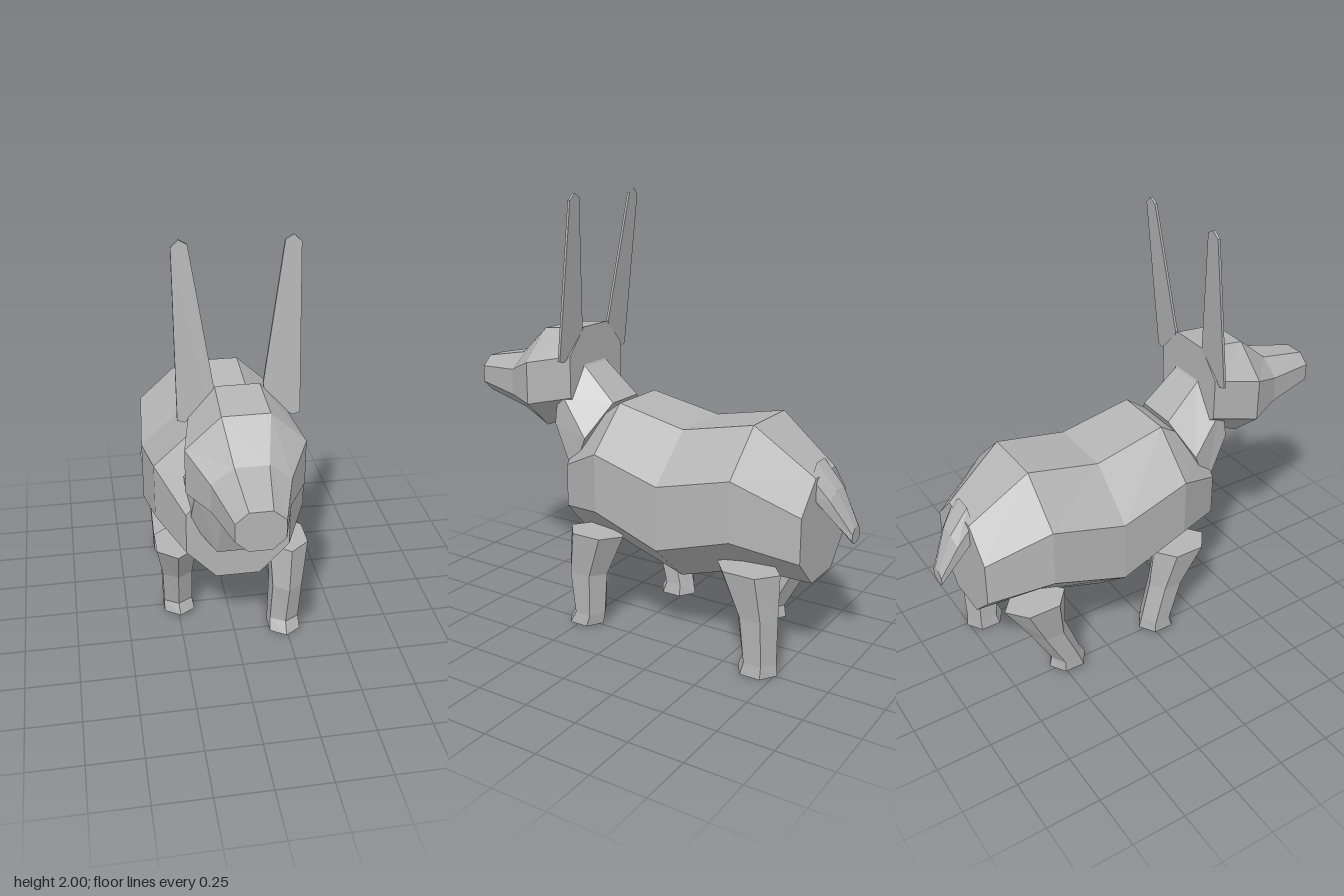
import * as THREE from 'three';

const grey = new THREE.MeshStandardMaterial({ color: 0xb4b4b4, flatShading: true });

// Skin closed rings of points into a faceted, capped solid
function loft(name, rings) {
  const pos = [];
  const tri = (...pts) => pts.forEach((p) => pos.push(...p));
  const n = rings[0].length;
  for (let i = 0; i < rings.length - 1; i++) {
    for (let j = 0; j < n; j++) {
      const k = (j + 1) % n;
      const a = rings[i][j], b = rings[i][k], c = rings[i + 1][k], d = rings[i + 1][j];
      tri(a, d, c);
      tri(a, c, b);
    }
  }
  const first = rings[0], last = rings[rings.length - 1];
  for (let j = 1; j < n - 1; j++) {
    tri(first[0], first[j], first[j + 1]);
    tri(last[0], last[j + 1], last[j]);
  }
  const geo = new THREE.BufferGeometry();
  geo.setAttribute('position', new THREE.Float32BufferAttribute(pos, 3));
  geo.computeVertexNormals();
  const mesh = new THREE.Mesh(geo, grey);
  mesh.name = name;
  return mesh;
}

// Octagonal ring from four levels, top to bottom: [z, y, halfWidth]
function octagon(levels, cx = 0) {
  const half = (s) => levels.map(([z, y, w]) => [cx + s * w, y, z]);
  return [...half(1), ...half(-1).reverse()];
}

// Upright octagon at one z: four heights, narrow and wide half widths
const upright = (z, ys, narrow, wide, cx) =>
  octagon(ys.map((y, i) => [z, y, i === 0 || i === 3 ? narrow : wide]), cx);

// Horizontal hexagon for the legs
function hexagon([y, cx, hw, zMin, zMax]) {
  return Array.from({ length: 6 }, (_, k) => {
    const t = Math.PI / 6 + (k * Math.PI) / 3;
    return [cx + (hw / Math.cos(Math.PI / 6)) * Math.cos(t), y, (zMin + zMax) / 2 + ((zMax - zMin) / 2) * Math.sin(t)];
  });
}

// Thin tapered ear leaning backwards as it rises
function ear(name, side) {
  const pts = [[0.23, 1.24], [0.26, 1.25], [0.262, 1.97], [0.23, 2.0], [0.195, 1.98], [0.103, 1.385], [0.12, 1.3]];
  const shape = new THREE.Shape(pts.map(([x, y]) => new THREE.Vector2(side * x - 0.005, y)));
  const geo = new THREE.ExtrudeGeometry(shape, { depth: 0.012, bevelEnabled: false });
  const p = geo.attributes.position;
  for (let i = 0; i < p.count; i++) p.setZ(i, p.getZ(i) + 0.363 - (p.getY(i) - 1.24) * 0.108);
  geo.computeVertexNormals();
  const mesh = new THREE.Mesh(geo, grey);
  mesh.name = name;
  return mesh;
}

export function createModel() {
  const model = new THREE.Group();
  model.name = 'animal';

  // Barrel-shaped body, rump to chest
  model.add(loft('body', [
    upright(-0.84, [0.87, 0.735, 0.53, 0.4], 0.1, 0.23),
    upright(-0.57, [1.07, 0.88, 0.61, 0.42], 0.145, 0.35),
    upright(-0.23, [1.0, 0.8, 0.51, 0.315], 0.155, 0.378),
    upright(0.11, [1.07, 0.88, 0.61, 0.42], 0.145, 0.35),
    upright(0.35, [0.9, 0.76, 0.56, 0.415], 0.1, 0.235),
  ]));

  // Neck rising from the chest into the head
  model.add(loft('neck', [
    octagon([[0.18, 1.05, 0.1], [0.25, 0.9, 0.23], [0.33, 0.71, 0.215], [0.38, 0.57, 0.1]]),
    octagon([[0.345, 1.2, 0.085], [0.39, 1.07, 0.2], [0.44, 0.94, 0.2], [0.47, 0.82, 0.09]]),
    octagon([[0.38, 1.26, 0.08], [0.41, 1.2, 0.17], [0.44, 1.1, 0.17], [0.47, 1.03, 0.09]]),
  ]));

  // Head narrowing to a blunt muzzle
  model.add(loft('head', [
    upright(0.35, [1.385, 1.265, 1.07, 0.98], 0.095, 0.205, -0.01),
    upright(0.57, [1.36, 1.22, 1.02, 0.885], 0.1, 0.25, -0.01),
    upright(0.735, [1.22, 1.15, 1.025, 0.945], 0.07, 0.163, -0.015),
    upright(0.98, [1.17, 1.125, 1.045, 0.995], 0.047, 0.1, -0.023),
  ]));

  model.add(ear('leftEar', 1), ear('rightEar', -1));

  // Drooping tail, tip to root
  model.add(loft('tail', [
    octagon([[-0.978, 0.645, 0.018], [-0.978, 0.62, 0.042], [-0.977, 0.59, 0.042], [-0.975, 0.57, 0.018]], -0.03),
    octagon([[-0.905, 0.81, 0.035], [-0.895, 0.77, 0.08], [-0.88, 0.715, 0.08], [-0.87, 0.69, 0.035]], -0.01),
    octagon([[-0.815, 0.92, 0.04], [-0.82, 0.87, 0.1], [-0.82, 0.79, 0.1], [-0.82, 0.74, 0.04]]),
  ]));

  // Striding legs, sole to hip: [y, centreX, halfWidth, zMin, zMax]
  const legs = {
    frontLeftLeg: [[0.01, 0.242, 0.073, 0.15, 0.335], [0.065, 0.242, 0.068, 0.14, 0.3],
      [0.27, 0.25, 0.07, 0.12, 0.33], [0.48, 0.26, 0.09, 0.02, 0.31]],
    frontRightLeg: [[0.025, -0.245, 0.073, -0.065, 0.125], [0.08, -0.25, 0.068, -0.055, 0.1],
      [0.28, -0.255, 0.07, -0.015, 0.16], [0.48, -0.265, 0.092, 0.0, 0.28]],
    backLeftLeg: [[0.005, 0.242, 0.073, -0.76, -0.57], [0.06, 0.242, 0.068, -0.755, -0.59],
      [0.27, 0.25, 0.07, -0.76, -0.565], [0.48, 0.262, 0.092, -0.77, -0.47]],
    backRightLeg: [[0.03, -0.245, 0.073, -0.565, -0.375], [0.085, -0.25, 0.068, -0.555, -0.405],
      [0.28, -0.255, 0.07, -0.66, -0.48], [0.48, -0.265, 0.09, -0.78, -0.48]],
  };
  for (const [name, rings] of Object.entries(legs)) model.add(loft(name, rings.map(hexagon)));

  return model;
}
